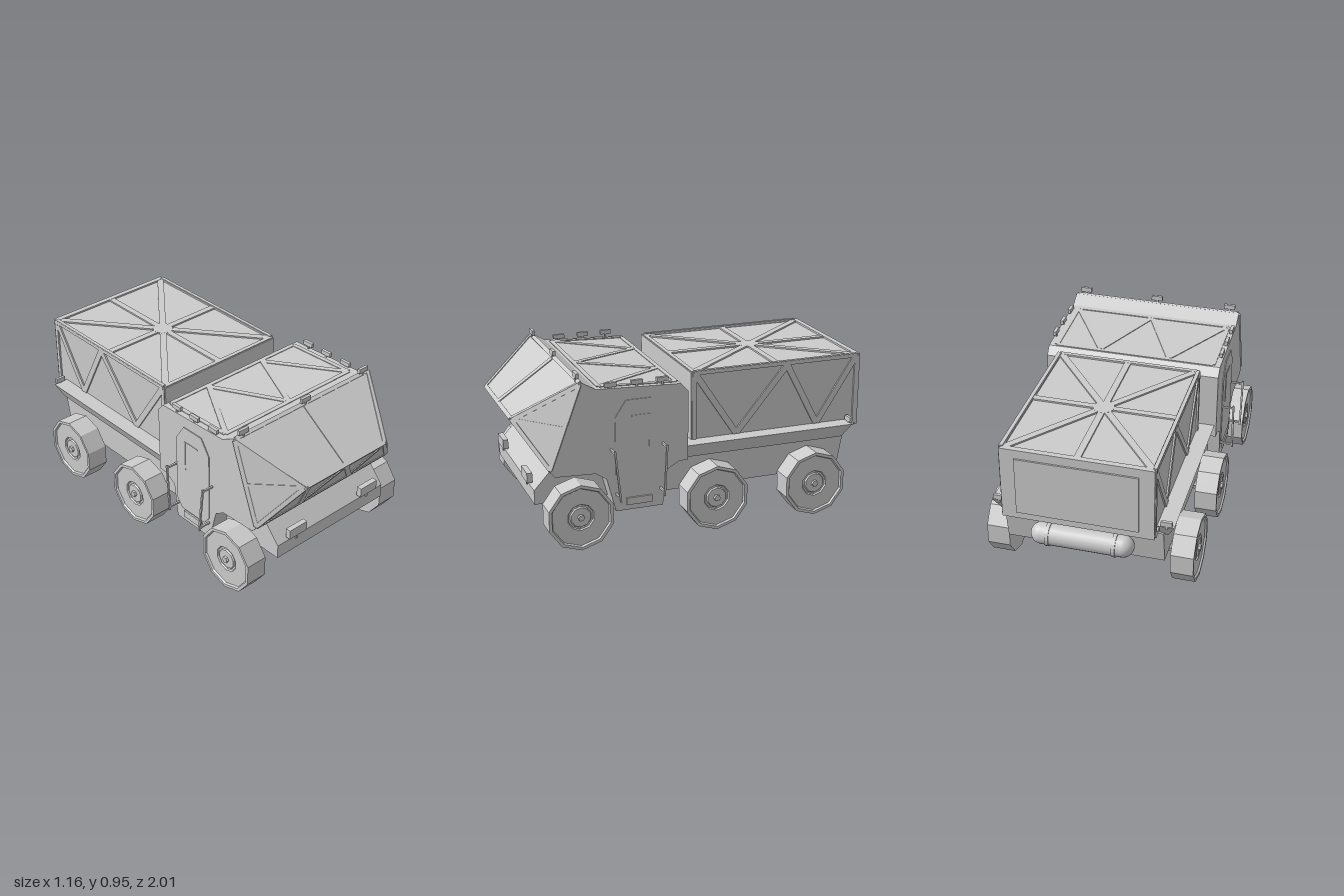
import * as THREE from 'three';
import { ConvexGeometry } from 'three/addons/geometries/ConvexGeometry.js';

const V = (x, y, z) => new THREE.Vector3(x, y, z);

export function createModel() {
  const model = new THREE.Group();
  model.name = 'sixWheeledTransporter';
  const mat = new THREE.MeshStandardMaterial({ color: 0xcccccc, flatShading: true });
  const smooth = new THREE.MeshStandardMaterial({ color: 0xcccccc });

  function add(name, geo, parent = model, m = mat) {
    const mesh = new THREE.Mesh(geo, m);
    mesh.name = name;
    parent.add(mesh);
    return mesh;
  }
  function group(name) {
    const g = new THREE.Group();
    g.name = name;
    model.add(g);
    return g;
  }
  function box(name, w, h, d, x, y, z, parent) {
    const b = add(name, new THREE.BoxGeometry(w, h, d), parent);
    b.position.set(x, y, z);
    return b;
  }
  // Side profile of [z, y] points, extruded across x
  function slab(name, pts, width, x = 0, parent = model) {
    const shape = new THREE.Shape(pts.map(p => new THREE.Vector2(p[0], p[1])));
    const geo = new THREE.ExtrudeGeometry(shape, { depth: width, bevelEnabled: false });
    geo.translate(0, 0, -width / 2).rotateY(-Math.PI / 2).translate(x, 0, 0);
    return add(name, geo, parent);
  }
  // Flat bar from a to b lying on a surface with normal n
  function bar(name, a, b, n, w, t, parent) {
    const dir = b.clone().sub(a), len = dir.length();
    dir.normalize();
    const side = n.clone().cross(dir).normalize();
    const up = dir.clone().cross(side);
    const mesh = add(name, new THREE.BoxGeometry(w, t, len), parent);
    mesh.quaternion.setFromRotationMatrix(new THREE.Matrix4().makeBasis(side, up, dir));
    mesh.position.copy(a).lerp(b, 0.5);
    return mesh;
  }
  function path(name, pts, n, w, t, parent, closed = false) {
    const last = closed ? pts.length : pts.length - 1;
    for (let i = 0; i < last; i++) bar(name, pts[i], pts[(i + 1) % pts.length], n, w, t, parent);
  }
  // Frame around the polygon, bars pulled inwards so they stay inside its outline
  function frame(name, pts, n, w, t, parent) {
    const c = pts.reduce((s, p) => s.add(p), V(0, 0, 0)).divideScalar(pts.length);
    const inner = pts.map(p => p.clone().lerp(c, Math.min(0.2, w * 0.6 / p.distanceTo(c))));
    path(name, inner, n, w, t, parent, true);
  }

  // Cab body and pointed nose
  const cab = group('cab');
  slab('cabBody', [[0.67, 0.91], [0.59, 0.865], [0.12, 0.845], [0.08, 0.8], [0.08, 0.41], [0.13, 0.41],
    [0.2, 0.37], [0.225, 0.17], [0.49, 0.17], [0.54, 0.36], [0.6, 0.4], [0.82, 0.41], [0.845, 0.44]], 1, 0, cab);
  const top = s => V(s * 0.5, 0.91, 0.67), low = s => V(s * 0.5, 0.44, 0.845), tip = s => V(s * 0.3, 0.685, 1);
  add('nose', new ConvexGeometry([top(1), top(-1), low(1), low(-1), tip(1), tip(-1)]), cab);

  // Nose window frames
  const upN = V(0, 0.826, 0.563), lowN = V(0, -0.534, 0.845);
  frame('windscreenFrame', [top(-1), top(1), tip(1), tip(-1)], upN, 0.022, 0.01, cab);
  bar('windscreenPost', V(0, 0.9, 0.685), V(0, 0.69, 0.993), upN, 0.035, 0.01, cab);
  frame('lowerWindowFrame', [tip(-1), tip(1), low(1), low(-1)], lowN, 0.022, 0.01, cab);
  path('lowerWindowStrut', [[-0.28, 0.675], [-0.19, 0.455], [0, 0.675], [0.18, 0.455], [0.28, 0.675]]
    .map(([x, y]) => V(x, y, 0.845 + (y - 0.44) * 0.633)), lowN, 0.03, 0.01, cab);
  for (const s of [-1, 1]) {
    const n = top(s).sub(low(s)).cross(tip(s).sub(low(s))).normalize().multiplyScalar(-s);
    if (n.x * s < 0) n.negate();
    frame('sideWindowFrame', [top(s), tip(s), low(s)], n, 0.022, 0.01, cab);
    bar('sideWindowStrut', V(s * 0.5, 0.67, 0.76), V(s * 0.315, 0.685, 0.98), n, 0.02, 0.008, cab);
  }

  // Roof ribs
  const roof = (x, z) => V(x, 0.84 + z * 0.0426, z);
  const Y = V(0, 1, 0), Z = V(0, 0, 1), X = V(1, 0, 0);
  frame('roofFrame', [roof(-0.47, 0.13), roof(0.47, 0.13), roof(0.47, 0.57), roof(-0.47, 0.57)], Y, 0.025, 0.008, cab);
  path('roofRib', [roof(-0.45, 0.56), roof(-0.2, 0.15), roof(0, 0.56), roof(0.2, 0.15), roof(0.45, 0.56)], Y, 0.03, 0.008, cab);

  // Doors, steps and handrails on both flanks
  for (const s of [-1, 1]) {
    slab('door', [[0.23, 0.3], [0.27, 0.25], [0.45, 0.25], [0.49, 0.3], [0.49, 0.7], [0.43, 0.79],
      [0.29, 0.79], [0.23, 0.7]], 0.008, s * 0.501, cab);
    path('doorWindowTrim', [V(s * 0.505, 0.52, 0.3), V(s * 0.505, 0.7, 0.3), V(s * 0.505, 0.7, 0.4)], X, 0.008, 0.006, cab);
    box('doorStep', 0.012, 0.04, 0.145, s * 0.503, 0.22, 0.36, cab);
    for (const [zt, zb] of [[0.515, 0.485], [0.225, 0.24]]) {
      const x = s * 0.57, at = y => V(x, y, zb + (zt - zb) * (y - 0.25) / 0.29);
      bar('handrail', at(0.25), at(0.54), X, 0.01, 0.01, cab);
      for (const y of [0.27, 0.525]) {
        const p = at(y);
        bar('handrailBracket', p, V(s * 0.495, y, p.z), Z, 0.01, 0.01, cab);
      }
    }
  }

  // Chassis, bumper and cargo deck
  const chassis = group('chassis');
  slab('frontHull', [[0.91, 0.23], [0.91, 0.31], [0.81, 0.42], [0.45, 0.42], [0.45, 0.23]], 0.8, 0, chassis);
  slab('rearHull', [[0.26, 0.22], [0.26, 0.42], [-0.89, 0.42], [-0.855, 0.22]], 0.86, 0, chassis);
  const deck = [];
  for (const s of [-1, 1]) deck.push(V(s * 0.45, 0.405, 0.1), V(s * 0.45, 0.405, -0.87),
    V(s * 0.49, 0.485, 0.09), V(s * 0.49, 0.485, -0.915));
  add('cargoDeck', new ConvexGeometry(deck), chassis);

  // Cargo box with ribbed sides, top and tailgate
  const cargo = group('cargoBox');
  box('cargoCore', 0.8, 0.41, 1.0, 0, 0.655, -0.48, cargo);
  const zig = [[0, 0.85], [-0.24, 0.49], [-0.54, 0.85], [-0.73, 0.49], [-0.96, 0.85]];
  for (const s of [-1, 1]) {
    const x = s * 0.4;
    frame('cargoSideFrame', [V(x, 0.868, 0.022), V(x, 0.868, -0.982), V(x, 0.455, -0.982), V(x, 0.455, 0.022)], X, 0.024, 0.02, cargo);
    path('cargoSideStrut', zig.map(([z, y]) => V(x, y, z)), X, 0.035, 0.018, cargo);
    bar('cargoTopDiagonal', V(-0.39, 0.86, -0.48 - s * 0.49), V(0.39, 0.86, -0.48 + s * 0.49), Y, 0.038, 0.018, cargo);
  }
  frame('cargoTopFrame', [V(-0.408, 0.86, 0.022), V(0.408, 0.86, 0.022), V(0.408, 0.86, -0.982), V(-0.408, 0.86, -0.982)], Y, 0.024, 0.02, cargo);
  bar('cargoTopSpine', V(0, 0.86, 0.02), V(0, 0.86, -0.98), Y, 0.036, 0.018, cargo);
  bar('cargoTopCrossbar', V(-0.4, 0.86, -0.48), V(0.4, 0.86, -0.48), Y, 0.036, 0.018, cargo);
  const hub = add('cargoTopHub', new THREE.CylinderGeometry(0.06, 0.06, 0.019, 8), cargo);
  hub.position.set(0, 0.86, -0.48);
  box('cargoFrontPlate', 0.81, 0.41, 0.012, 0, 0.66, 0.022, cargo);
  box('cargoRearPlate', 0.81, 0.42, 0.012, 0, 0.66, -0.984, cargo);
  box('tailgate', 0.65, 0.33, 0.012, 0, 0.655, -0.993, cargo);

  // Rear tank with end straps
  const tank = group('rearTank');
  const capsule = add('tankShell', new THREE.CapsuleGeometry(0.06, 0.44, 8, 20), tank, smooth);
  capsule.rotation.z = Math.PI / 2;
  capsule.position.set(0, 0.315, -0.91);
  for (const x of [-0.18, 0.18]) {
    const strap = add('tankStrap', new THREE.CylinderGeometry(0.066, 0.066, 0.02, 20), tank);
    strap.rotation.z = Math.PI / 2;
    strap.position.set(x, 0.315, -0.91);
    box('tankBracket', 0.02, 0.05, 0.06, x, 0.315, -0.86, tank);
  }

  // Ten-sided wheels with rims and hubs, on plain axles
  const wheels = group('wheels');
  wheels.position.x = -0.01;
  const tyre = [[0, -0.0625], [0.185, -0.0625], [0.185, 0.0625], [0.168, 0.0625], [0.162, 0.052], [0.075, 0.052],
    [0.07, 0.044], [0.06, 0.044], [0.055, 0.052], [0, 0.052]].map(p => new THREE.Vector2(p[0], p[1]));
  for (const z of [0.7, -0.07, -0.66]) {
    const axle = add('axle', new THREE.CylinderGeometry(0.045, 0.045, 0.92, 10), wheels);
    axle.rotation.z = Math.PI / 2;
    axle.position.set(0, 0.187, z);
    for (const s of [-1, 1]) {
      const wheel = new THREE.Group();
      wheel.name = 'wheel';
      wheel.position.set(s * 0.5075, 0.187, z);
      wheel.rotation.z = -s * Math.PI / 2;
      wheels.add(wheel);
      add('tyre', new THREE.LatheGeometry(tyre, 10, Math.PI / 2), wheel);
      add('hubNut', new THREE.CylinderGeometry(0.018, 0.02, 0.02, 6), wheel).position.y = 0.056;
    }
  }

  // Lamps on short stalks
  const lamps = group('lamps');
  function lamp(name, w, h, d, x, y, z, stalk) {
    box(name, w, h, d, x, y, z, lamps);
    box(name + 'Stalk', 0.01, stalk, 0.01, x, y - h / 2 - stalk / 2, z, lamps);
  }
  for (const x of [-0.44, 0, 0.44]) lamp('roofLamp', 0.065, 0.027, 0.016, x, 0.936, 0.68, 0.025);
  for (const s of [-1, 1]) {
    for (const z of [0.51, 0.365, 0.225]) lamp('sideRoofLamp', 0.018, 0.024, 0.065, s * 0.49, 0.88, z, 0.02);
    lamp('headlamp', 0.125, 0.055, 0.03, s * 0.27, 0.357, 0.915, 0.03);
    lamp('rearLamp', 0.06, 0.028, 0.016, s * 0.45, 0.505, -0.912, 0.02);
  }
  return model;
}
